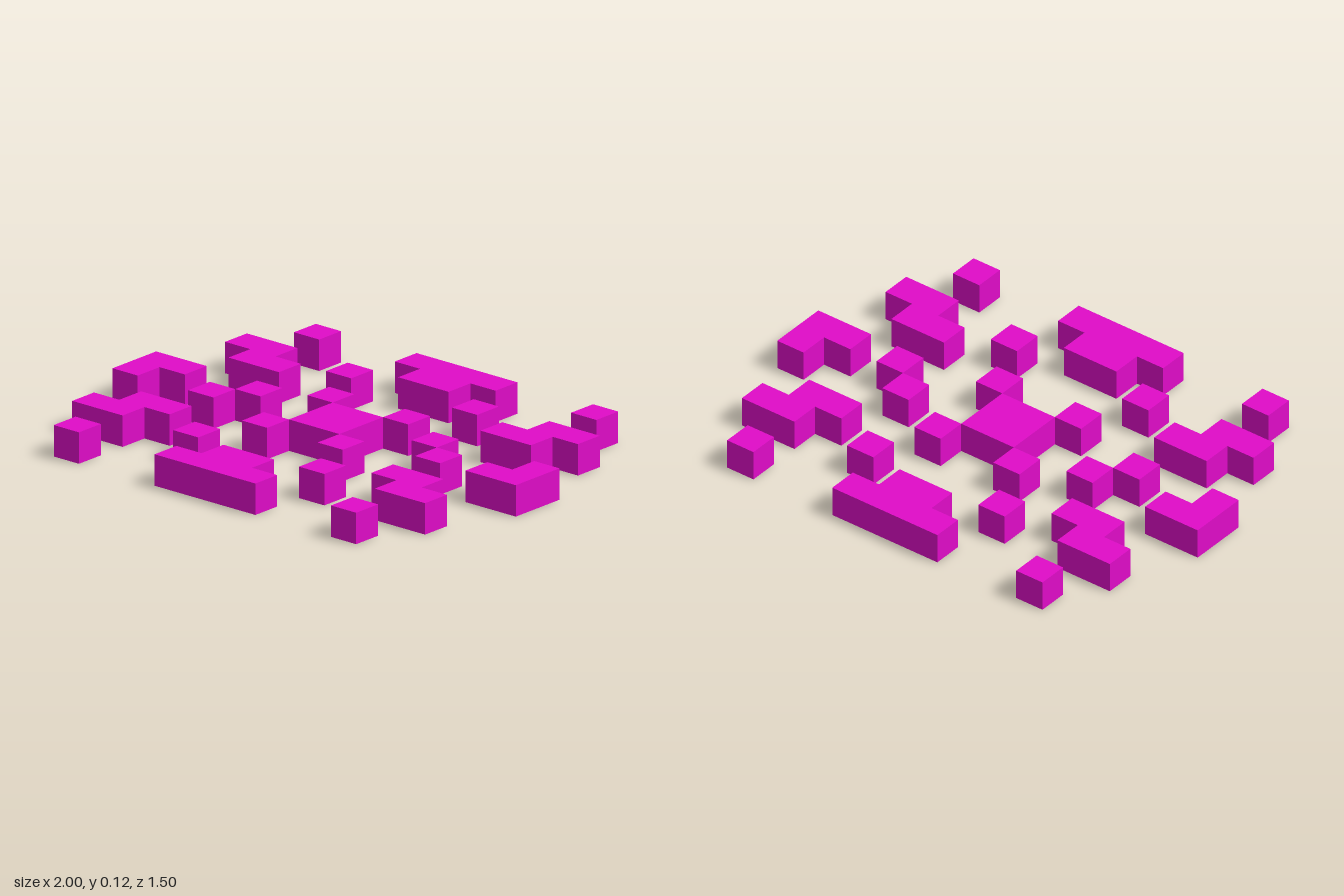
import * as THREE from 'three';

const CELL = 0.125; // one block of the pattern

export function createModel() {
  const model = new THREE.Group();
  model.name = 'blockPattern';
  const material = new THREE.MeshStandardMaterial({ color: 0xe00cc8, flatShading: true });

  // One-block-high slab from an outline of [x, z] cell corners, mirrored by sx and sz
  function slab(name, outline, sx = 1, sz = 1) {
    const points = outline.map(([x, z]) => new THREE.Vector2(x * sx * CELL, z * sz * CELL));
    const geometry = new THREE.ExtrudeGeometry(new THREE.Shape(points), { depth: CELL, bevelEnabled: false });
    geometry.rotateX(Math.PI / 2).translate(0, CELL, 0);
    const mesh = new THREE.Mesh(geometry, material);
    mesh.name = name;
    model.add(mesh);
  }
  const square = (x, z, size = 1) => [[x, z], [x + size, z], [x + size, z + size], [x, z + size]];

  const zigzag = [[4, 2], [6, 2], [6, 3], [7, 3], [7, 4], [5, 4], [5, 3], [4, 3]];
  const steppedEnd = [[-1, 4], [1, 4], [1, 5], [2, 5], [2, 6], [-2, 6], [-2, 5], [-1, 5]];
  const sideCorner = [[7, -1], [8, -1], [8, 1], [6, 1], [6, 0], [7, 0]];

  slab('centreBlock', square(-1, -1, 2));

  for (const sx of [1, -1]) {
    const side = sx > 0 ? 'left' : 'right';
    // Blocks and zigzags repeated in all four quadrants
    for (const sz of [1, -1]) {
      const corner = side + (sz > 0 ? 'Front' : 'Back');
      slab(corner + 'InnerBlock', square(1, 1), sx, sz);
      slab(corner + 'MiddleBlock', square(2, 3), sx, sz);
      slab(corner + 'OuterBlock', square(5, 5), sx, sz);
      slab(corner + 'Zigzag', zigzag, sx, sz);
    }
    // Blocks along the middle row
    slab(side + 'NearSideBlock', square(3, -1), sx);
    slab(side + 'FarSideBlock', square(4, 0), sx);
    // L-shaped corners are turned half way round on the other side
    slab(side + 'SideCorner', sideCorner, sx, sx);
    // T-shaped ends at front and back
    slab(sx > 0 ? 'frontEnd' : 'backEnd', steppedEnd, 1, sx);
  }
  return model;
}
